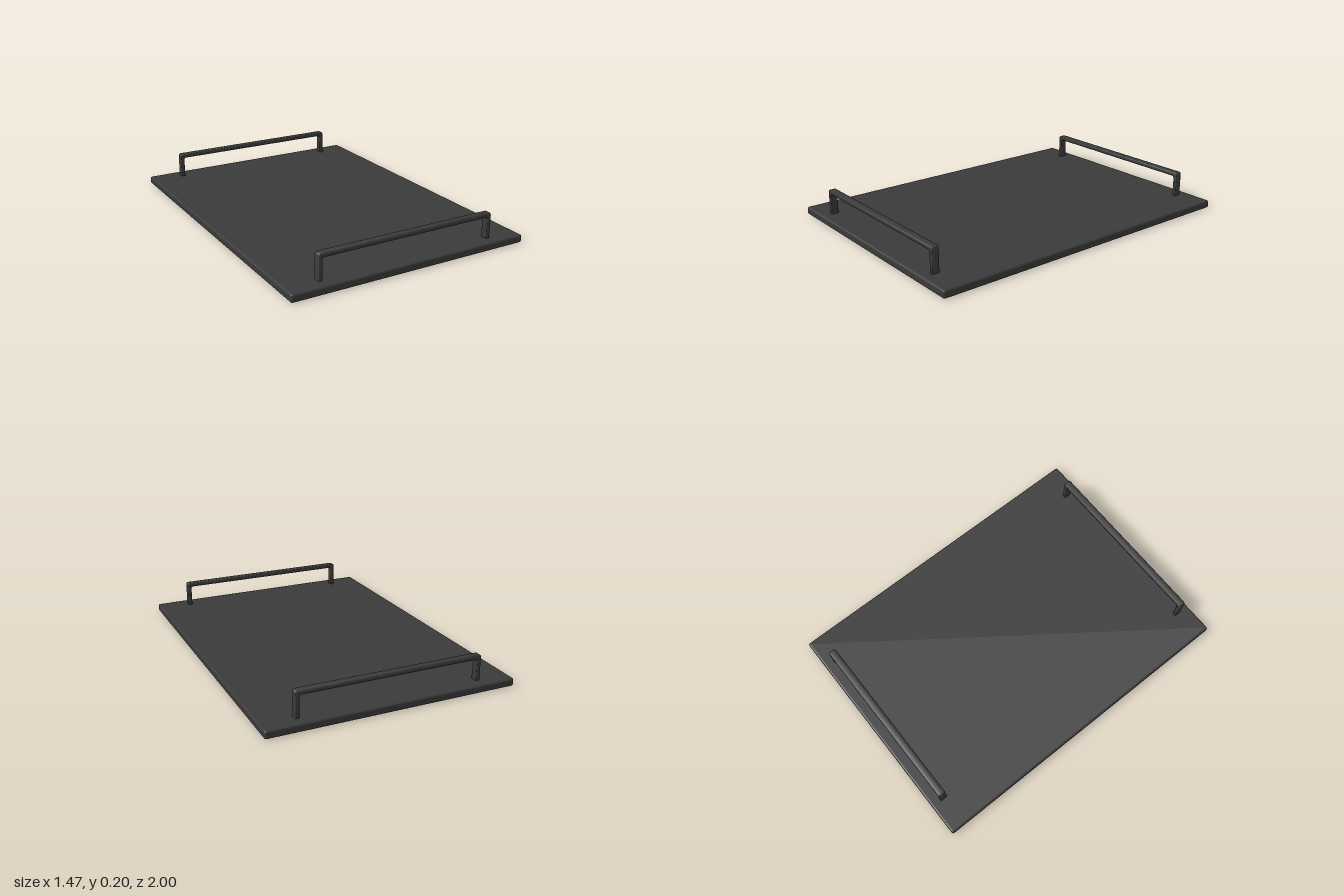
import * as THREE from 'three';
import { RoundedBoxGeometry } from 'three/addons/geometries/RoundedBoxGeometry.js';
import { toCreasedNormals } from 'three/addons/utils/BufferGeometryUtils.js';

const material = new THREE.MeshStandardMaterial({ color: 0x3a3a3a });

// Outline of a bracket-shaped handle with rounded corners, open at the bottom
function handleShape(halfWidth, bottom, top, bar, outerR, innerR) {
  const w = halfWidth, iw = halfWidth - bar, it = top - bar;
  const s = new THREE.Shape();
  s.moveTo(w, bottom);
  s.lineTo(w, top - outerR);
  s.absarc(w - outerR, top - outerR, outerR, 0, Math.PI / 2, false);
  s.lineTo(-w + outerR, top);
  s.absarc(-w + outerR, top - outerR, outerR, Math.PI / 2, Math.PI, false);
  s.lineTo(-w, bottom);
  s.lineTo(-iw, bottom);
  s.lineTo(-iw, it - innerR);
  s.absarc(-iw + innerR, it - innerR, innerR, Math.PI, Math.PI / 2, true);
  s.lineTo(iw - innerR, it);
  s.absarc(iw - innerR, it - innerR, innerR, Math.PI / 2, 0, true);
  s.lineTo(iw, bottom);
  return s;
}

export function createModel() {
  const group = new THREE.Group();
  group.name = 'servingTray';

  // Flat board with softened edges
  const board = new THREE.Mesh(new RoundedBoxGeometry(1.468, 0.047, 2, 4, 0.012), material);
  board.name = 'board';
  board.position.y = 0.0235;
  group.add(board);

  // Handles near both short ends, legs sunk into the board
  const bevel = 0.008, depth = 0.046;
  const extruded = new THREE.ExtrudeGeometry(handleShape(0.548, 0.02, 0.197, 0.026, 0.014, 0.012), {
    depth: depth - 2 * bevel,
    bevelEnabled: true,
    bevelThickness: bevel,
    bevelSize: bevel,
    bevelOffset: -bevel,
    bevelSegments: 4,
    curveSegments: 6,
  });
  extruded.translate(0, 0, -(depth - 2 * bevel) / 2);
  const handleGeometry = toCreasedNormals(extruded, 0.7);
  for (const [name, z] of [['frontHandle', 0.918], ['backHandle', -0.918]]) {
    const handle = new THREE.Mesh(handleGeometry, material);
    handle.name = name;
    handle.position.z = z;
    group.add(handle);
  }
  return group;
}
